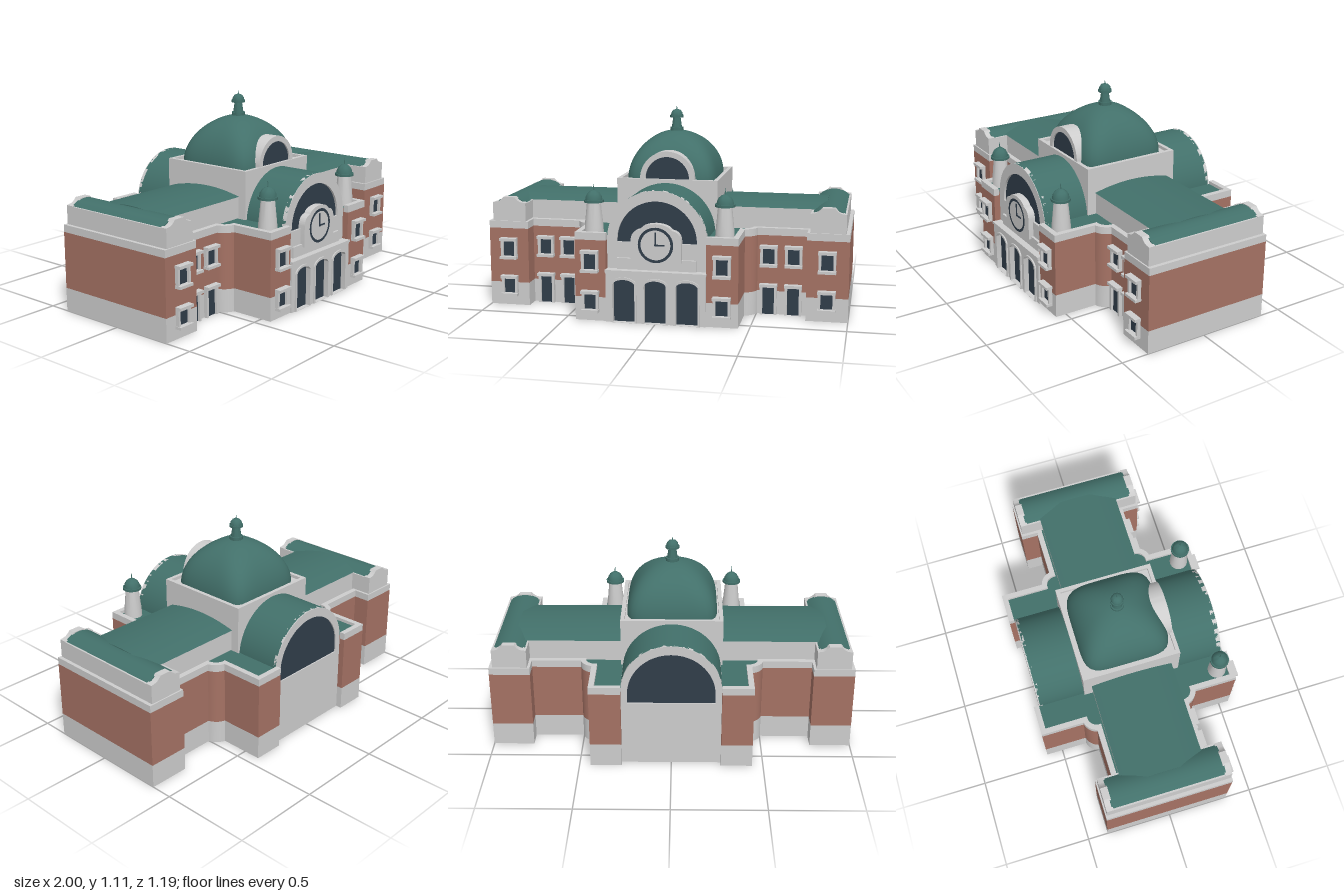
import * as THREE from 'three';
import { toCreasedNormals } from 'three/addons/utils/BufferGeometryUtils.js';

const mat = (name, color) => {
  const m = new THREE.MeshStandardMaterial({ color, side: THREE.DoubleSide });
  m.name = name;
  return m;
};

export function createModel() {
  const stone = mat('pale stone', 0xcdcdcd);
  const brick = mat('red brick', 0xa57264);
  const copper = mat('green copper', 0x42706a);
  const glass = mat('dark glass', 0x303d4a);

  const model = new THREE.Group();
  model.name = 'station';
  const body = new THREE.Group();
  body.name = 'building';
  body.position.z = -0.0175;
  model.add(body);

  const add = (parent, name, geo, m, x = 0, y = 0, z = 0) => {
    const mesh = new THREE.Mesh(geo, m);
    mesh.name = name;
    mesh.position.set(x, y, z);
    parent.add(mesh);
    return mesh;
  };
  // Box given by its lower and upper limits
  const box = (parent, name, m, x0, x1, y0, y1, z0, z1) =>
    add(parent, name, new THREE.BoxGeometry(x1 - x0, y1 - y0, z1 - z0), m,
      (x0 + x1) / 2, (y0 + y1) / 2, (z0 + z1) / 2);
  const extrude = (shape, depth) => toCreasedNormals(
    new THREE.ExtrudeGeometry(shape, { depth, bevelEnabled: false, curveSegments: 24 }), 0.6);
  const polygon = pts => new THREE.Shape(pts.map(p => new THREE.Vector2(p[0], p[1])));
  const lathe = pts => toCreasedNormals(
    new THREE.LatheGeometry(pts.map(p => new THREE.Vector2(p[0], p[1])), 24), 0.6);
  // Round or elliptic arch on straight jambs
  const arch = (rx, ry, spring, bottom, cx = 0, Kind = THREE.Shape) => {
    const s = new Kind();
    s.moveTo(cx - rx, bottom);
    s.lineTo(cx + rx, bottom);
    s.lineTo(cx + rx, spring);
    s.absellipse(cx, spring, rx, ry, 0, Math.PI, false);
    s.lineTo(cx - rx, bottom);
    return s;
  };
  const archHole = (...a) => arch(a[0], a[1], a[2], a[3], a[4], THREE.Path);

  // Half plan of the building, inset by d, running from front to back
  const plan = d => {
    const q = [[0.27, 0.5775 - d], [0.44 - d, 0.5775 - d]];
    const r = 0.085 - d, a0 = Math.acos((0.02 - d) / r), a1 = Math.asin((0.02 - d) / r);
    for (let i = 0; i <= 8; i++) {
      const a = a0 + (a1 - a0) * i / 8;
      q.push([0.42 + r * Math.cos(a), 0.25 + r * Math.sin(a)]);
    }
    q.push([0.775 + d, 0.27 - d], [0.775 + d, 0.365 - d], [1 - d, 0.365 - d]);
    return [...q, ...q.map(p => [p[0], -p[1]]).reverse()];
  };
  // Upright wall following a path
  const wall = (path, y0, y1) => {
    const pos = [];
    for (let i = 0; i < path.length - 1; i++) {
      const [ax, az] = path[i], [bx, bz] = path[i + 1];
      pos.push(ax, y0, az, bx, y0, bz, bx, y1, bz, ax, y0, az, bx, y1, bz, ax, y1, az);
    }
    const g = new THREE.BufferGeometry();
    g.setAttribute('position', new THREE.Float32BufferAttribute(pos, 3));
    return toCreasedNormals(g, 0.6);
  };
  const flat = pts => new THREE.ShapeGeometry(polygon(pts)).rotateX(Math.PI / 2);

  // Framed window or door: deep lintel and sill, shallow jambs
  const opening = (parent, x, y0, y1, z, door) => {
    const g = new THREE.Group();
    g.name = door ? 'wingDoor' : 'window';
    g.position.set(x, 0, z);
    parent.add(g);
    box(g, 'pane', glass, -0.034, 0.034, y0, y1, 0, 0.006);
    for (const s of [-1, 1]) box(g, 'jamb', stone, s * 0.039 - 0.007, s * 0.039 + 0.007, y0, y1, 0, 0.02);
    box(g, 'lintel', stone, -0.048, 0.048, y1 - 0.004, y1 + 0.012, 0, 0.036);
    if (!door) box(g, 'sill', stone, -0.048, 0.048, y0 - 0.012, y0 + 0.003, 0, 0.036);
  };

  // Low curved roof section of half width w
  const roofSection = (w, y0, y1) => {
    const pts = [];
    for (let i = 0; i <= 16; i++) {
      const t = i / 8 - 1;
      pts.push([t * w, y0 + (y1 - y0) * (1 - t * t)]);
    }
    return polygon(pts);
  };

  for (const side of [1, -1]) {
    const half = new THREE.Group();
    half.name = side > 0 ? 'leftHalf' : 'rightHalf';
    half.scale.x = side;
    body.add(half);

    // Walls, parapet band and flat roof
    const outer = plan(0), inner = plan(0.03);
    const path = [[0.27, 0.53], ...outer, [0.27, -0.53]];
    add(half, 'baseWall', wall(path, 0, 0.13), stone);
    add(half, 'brickWall', wall(path, 0.13, 0.44), brick);
    const band = extrude(polygon([...outer, ...inner.slice().reverse()]), 0.04).rotateX(Math.PI / 2);
    add(half, 'parapet', band, stone, 0, 0.48);
    add(half, 'flatRoof', flat(plan(0.01)), copper, 0, 0.462);

    // Wing attic and low vaulted roof
    box(half, 'wingAttic', stone, 0.27, 0.81, 0.465, 0.585, -0.23, 0.23);
    add(half, 'wingRoof', extrude(roofSection(0.235, 0.585, 0.615), 0.59).rotateY(Math.PI / 2),
      copper, 0.275);

    // End pavilion attic, roof and shaped gables
    box(half, 'pavilionAttic', stone, 0.79, 0.98, 0.465, 0.58, -0.325, 0.325);
    add(half, 'pavilionRoof', extrude(roofSection(0.085, 0.58, 0.612), 0.65), copper, 0.885, 0, -0.325);
    const gable = new THREE.Shape();
    gable.moveTo(0.79, 0.47);
    gable.lineTo(0.98, 0.47);
    gable.lineTo(0.98, 0.583);
    gable.lineTo(0.955, 0.587);
    gable.quadraticCurveTo(0.935, 0.592, 0.918, 0.615);
    gable.lineTo(0.852, 0.615);
    gable.quadraticCurveTo(0.835, 0.592, 0.815, 0.587);
    gable.lineTo(0.79, 0.583);
    for (const z of [0.317, -0.357]) add(half, 'pavilionGable', extrude(gable, 0.04), stone, 0, 0, z);

    // Front windows and doors
    opening(half, 0.355, 0.28, 0.375, 0.5775);
    opening(half, 0.355, 0.062, 0.155, 0.5775);
    opening(half, 0.885, 0.28, 0.375, 0.365);
    opening(half, 0.885, 0.068, 0.16, 0.365);
    for (const x of [0.565, 0.7]) {
      opening(half, x, 0.28, 0.375, 0.27);
      opening(half, x, 0, 0.16, 0.27, true);
    }

    // Corner turret
    add(half, 'turretShaft', lathe([[0.052, 0.46], [0.05, 0.5], [0.037, 0.632]]), stone, 0.355, 0, 0.49);
    add(half, 'turretCap', lathe([[0, 0.63], [0.053, 0.63], [0.053, 0.643], [0.046, 0.643], [0.043, 0.66],
      [0.034, 0.677], [0.018, 0.69], [0.004, 0.695], [0, 0.735]]), copper, 0.355, 0, 0.49);
  }

  // Central nave vault
  add(body, 'naveRoof', new THREE.CylinderGeometry(0.27, 0.27, 1.08, 48, 1, true, -Math.PI / 2, Math.PI)
    .rotateX(-Math.PI / 2).scale(1, 1, 1), copper, 0, 0.44, 0).rotation.z = 0;

  // Rear end wall with great lunette
  const rear = arch(0.27, 0.27, 0.44, 0);
  rear.holes.push(archHole(0.235, 0.235, 0.425, 0.37));
  add(body, 'rearWall', extrude(rear, 0.02), stone, 0, 0, -0.545);
  add(body, 'rearLunette', extrude(arch(0.24, 0.24, 0.425, 0.365), 0.006), glass, 0, 0, -0.538);

  // Front arch wall, lunette and clock
  const front = arch(0.27, 0.27, 0.44, 0.25);
  front.holes.push(archHole(0.215, 0.215, 0.438, 0.43));
  add(body, 'frontWall', extrude(front, 0.025), stone, 0, 0, 0.5175);
  add(body, 'frontLunette', extrude(arch(0.22, 0.22, 0.438, 0.425), 0.006), glass, 0, 0, 0.524);
  box(body, 'clockPlinth', stone, -0.215, 0.215, 0.28, 0.345, 0.53, 0.556);
  const surround = new THREE.Shape();
  surround.moveTo(-0.135, 0.33);
  surround.lineTo(0.135, 0.33);
  surround.lineTo(0.135, 0.45);
  surround.quadraticCurveTo(0.13, 0.5, 0.085, 0.505);
  surround.quadraticCurveTo(0.07, 0.535, 0, 0.538);
  surround.quadraticCurveTo(-0.07, 0.535, -0.085, 0.505);
  surround.quadraticCurveTo(-0.13, 0.5, -0.135, 0.45);
  add(body, 'clockSurround', extrude(surround, 0.04), stone, 0, 0, 0.53);
  const clock = new THREE.Group();
  clock.name = 'clock';
  clock.position.set(0, 0.425, 0.57);
  body.add(clock);
  add(clock, 'clockRim', new THREE.RingGeometry(0.08, 0.095, 40), glass, 0, 0, 0.004);
  box(clock, 'minuteHand', glass, -0.004, 0.004, -0.006, 0.068, 0.001, 0.005);
  box(clock, 'hourHand', glass, -0.006, 0.048, -0.004, 0.004, 0.001, 0.005);

  // Entrance portal with three arched doors
  const portal = polygon([[-0.27, 0], [0.27, 0], [0.27, 0.275], [-0.27, 0.275]]);
  for (const x of [-0.17, 0, 0.17]) {
    portal.holes.push(archHole(0.059, 0.03, 0.205, 0.001, x));
    add(body, 'door', extrude(arch(0.063, 0.034, 0.205, 0, x), 0.006), glass, 0, 0, 0.56);
    const trim = arch(0.071, 0.043, 0.205, 0, x);
    trim.holes.push(archHole(0.059, 0.03, 0.205, 0.001, x));
    add(body, 'doorTrim', extrude(trim, 0.01), stone, 0, 0, 0.585);
  }
  add(body, 'portalWall', extrude(portal, 0.05), stone, 0, 0, 0.5375);
  box(body, 'portalLedge', stone, -0.272, 0.272, 0.272, 0.285, 0.53, 0.594);

  // Square drum, its ends cut to fit over the vault
  const drumEnd = new THREE.Shape();
  drumEnd.moveTo(0.28, 0.46);
  drumEnd.lineTo(0.28, 0.73);
  drumEnd.lineTo(-0.28, 0.73);
  drumEnd.lineTo(-0.28, 0.46);
  drumEnd.lineTo(-0.265, 0.46);
  drumEnd.absarc(0, 0.44, 0.265, Math.PI - 0.07, 0.07, true);
  for (const s of [-1, 1]) {
    add(body, 'drumEnd', extrude(drumEnd, 0.022), stone, 0, 0, s > 0 ? 0.258 : -0.28);
    box(body, 'drumSide', stone, s * 0.269 - 0.011, s * 0.269 + 0.011, 0.46, 0.73, -0.258, 0.258);
  }
  add(body, 'drumFloor', flat([[-0.26, -0.26], [0.26, -0.26], [0.26, 0.26], [-0.26, 0.26]]), stone, 0, 0.712);

  // Dome: rounded square at the base, becoming round at the crown
  const dome = new THREE.SphereGeometry(1, 64, 24, 0, Math.PI * 2, 0, Math.PI / 2);
  const p = dome.attributes.position;
  for (let i = 0; i < p.count; i++) {
    const x = p.getX(i), y = p.getY(i), z = p.getZ(i), r = Math.hypot(x, z);
    const n = 2 + 3.5 * r * r;
    const k = r < 1e-6 ? 1 : Math.pow(Math.pow(Math.abs(x / r), n) + Math.pow(Math.abs(z / r), n), -1 / n);
    p.setXYZ(i, x * k * 0.25, 0.71 + y * 0.265, z * k * 0.25);
  }
  dome.computeVertexNormals();
  add(body, 'dome', dome, copper);

  // Lantern on the crown
  add(body, 'lantern', lathe([[0.037, 0.965], [0.037, 0.99], [0.029, 0.99], [0.021, 1.045], [0.038, 1.045],
    [0.038, 1.058], [0.034, 1.058], [0.031, 1.073], [0.021, 1.086], [0.004, 1.092], [0, 1.112]]), copper);

  // Arched dormer on the dome front
  const dormer = arch(0.152, 0.152, 0.73, 0.715);
  dormer.holes.push(archHole(0.122, 0.122, 0.73, 0.716));
  add(body, 'dormer', extrude(dormer, 0.2), stone, 0, 0, 0.073);
  add(body, 'dormerWindow', extrude(arch(0.125, 0.125, 0.73, 0.715), 0.006), glass, 0, 0, 0.258);

  return model;
}
